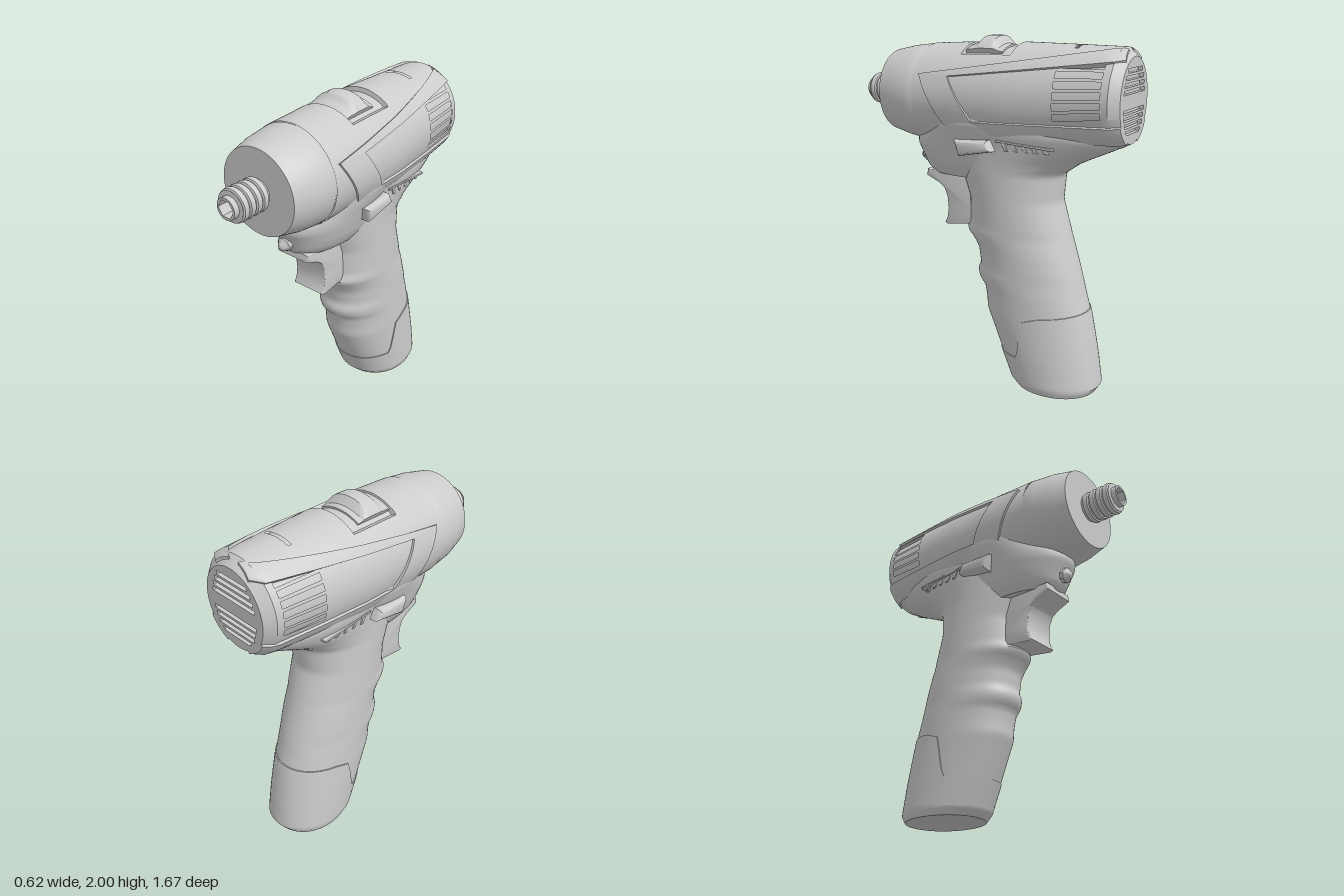
import * as THREE from 'three';
import { toCreasedNormals } from 'three/addons/utils/BufferGeometryUtils.js';

const material = new THREE.MeshStandardMaterial({ color: 0xcccccc, side: THREE.DoubleSide });
const SEG = 96;

function part(parent, name, geometry) {
  const mesh = new THREE.Mesh(toCreasedNormals(geometry, 0.6), material);
  mesh.name = name;
  parent.add(mesh);
  return mesh;
}

// Linear lookup in a table of rows [key, a, b, ...]
function lookup(table, key) {
  let i = 0;
  while (i < table.length - 2 && key > table[i + 1][0]) i++;
  const t = THREE.MathUtils.clamp((key - table[i][0]) / (table[i + 1][0] - table[i][0]), 0, 1);
  return table[i].map((v, k) => v + (table[i + 1][k] - v) * t).slice(1);
}

// Skin a list of rings; quads can be left out, ends can be capped
function loft(rings, { closed = true, caps = [], skip = () => false } = {}) {
  const pos = [];
  const tri = (...pts) => pts.forEach((p) => pos.push(p.x, p.y, p.z));
  const n = rings[0].length;
  for (let i = 0; i < rings.length - 1; i++) {
    for (let j = 0; j < (closed ? n : n - 1); j++) {
      if (skip(i, j)) continue;
      const k = (j + 1) % n;
      const [a, b, c, d] = [rings[i][j], rings[i][k], rings[i + 1][k], rings[i + 1][j]];
      tri(a, b, d);
      tri(b, c, d);
    }
  }
  for (const end of caps) {
    const ring = end === 'last' ? rings[rings.length - 1] : rings[0];
    const mid = ring.reduce((s, p) => s.add(p), new THREE.Vector3()).divideScalar(n);
    ring.forEach((p, j) => (end === 'last' ? tri(mid, p, ring[(j + 1) % n]) : tri(mid, ring[(j + 1) % n], p)));
  }
  const g = new THREE.BufferGeometry();
  g.setAttribute('position', new THREE.Float32BufferAttribute(pos, 3));
  return g;
}

// Motor housing sections: z, half width, centre height, half height
const BODY = [
  [-0.83, 0.21, 1.685, 0.225], [-0.78, 0.255, 1.695, 0.262], [-0.5, 0.276, 1.68, 0.283], [-0.2, 0.295, 1.67, 0.298],
  [0.1, 0.296, 1.67, 0.292], [0.37, 0.289, 1.667, 0.283], [0.5, 0.275, 1.668, 0.267], [0.62, 0.24, 1.67, 0.24],
];
function onBody(z, ang, lift = 0) {
  const [rx, yc, ry] = lookup(BODY, z);
  return new THREE.Vector3((rx + lift) * Math.cos(ang), yc + (ry + lift) * Math.sin(ang), z);
}
const angleAtY = (z, y) => {
  const [, yc, ry] = lookup(BODY, z);
  return Math.asin(THREE.MathUtils.clamp((y - yc) / ry, -0.99, 0.99));
};
const angleAtX = (z, x) => Math.acos(x / lookup(BODY, z)[0]);

// Raised four-cornered patch on the housing, edges sunk into it
function patch([rb, rt, fb, ft], angle, lift, nu = 24, nv = 8) {
  const rings = [];
  const step = (i, n) => THREE.MathUtils.clamp((i - 1) / (n - 2), 0, 1);
  const mix = THREE.MathUtils.lerp;
  for (let i = 0; i <= nu; i++) {
    const u = step(i, nu), ring = [];
    for (let j = 0; j <= nv; j++) {
      const v = step(j, nv);
      const [z, s] = [0, 1].map((k) => mix(mix(rb[k], rt[k], v), mix(fb[k], ft[k], v), u));
      const edge = i === 0 || j === 0 || i === nu || j === nv;
      ring.push(onBody(z, angle(z, s), edge ? -0.03 : lift(u, v)));
    }
    rings.push(ring);
  }
  return loft(rings, { closed: false });
}

// Side profile of [z, y] points, extruded across x from x0 to x1
function sideExtrude(points, x0, x1, bevel) {
  const shape = new THREE.Shape(points.map(([z, y]) => new THREE.Vector2(-z, y)));
  const g = new THREE.ExtrudeGeometry(shape, {
    depth: x1 - x0 - 2 * bevel, bevelSize: bevel, bevelThickness: bevel, bevelOffset: -bevel, bevelSegments: 3,
  });
  return g.translate(0, 0, x0 + bevel).rotateY(Math.PI / 2);
}

// Grip sections: y, front z, back z, half width
const GRIP = [
  [0, -0.2, -0.67, 0.205], [0.04, -0.16, -0.695, 0.22], [0.2, -0.09, -0.672, 0.222], [0.33, -0.035, -0.648, 0.222],
  [0.43, 0.008, -0.628, 0.222], [0.5, 0.012, -0.61, 0.222], [0.57, 0.025, -0.59, 0.222], [0.62, 0.065, -0.578, 0.222],
  [0.66, 0.072, -0.567, 0.222], [0.7, 0.052, -0.555, 0.222], [0.8, 0.066, -0.525, 0.222], [0.86, 0.105, -0.507, 0.222],
  [0.9, 0.145, -0.495, 0.222], [0.95, 0.12, -0.48, 0.222], [1.1, 0.12, -0.435, 0.222], [1.26, 0.18, -0.45, 0.222],
  [1.33, 0.22, -0.55, 0.225], [1.43, 0.26, -0.77, 0.236], [1.48, 0.26, -0.82, 0.248], [1.6, 0.2, -0.76, 0.25],
];
// Neck under the nose, above the trigger
const CHIN = [
  [1.21, 0.385, -0.2, 0.15], [1.25, 0.42, -0.22, 0.18], [1.3, 0.44, -0.25, 0.205], [1.38, 0.48, -0.3, 0.23],
  [1.42, 0.475, -0.32, 0.242], [1.48, 0.43, -0.34, 0.265], [1.54, 0.385, -0.34, 0.284], [1.6, 0.34, -0.3, 0.27],
];
function onColumn(table, y, a, grow = 0) {
  const [front, back, hw] = lookup(table, y);
  const round = (t) => Math.sign(t) * Math.abs(t) ** (2 / 2.1);
  const x = (hw + grow) * round(Math.sin(a));
  return new THREE.Vector3(x, y, (front + back) / 2 + ((front - back) / 2 + grow) * round(Math.cos(a)));
}
const column = (table, count, fn) => Array.from({ length: count + 1 }, (_, i) =>
  Array.from({ length: 64 }, (_, j) => fn(table, i / count, (j / 64) * Math.PI * 2)));

export function createModel() {
  const model = new THREE.Group();
  model.name = 'cordlessDriver';
  const ring = (z, lift) => Array.from({ length: SEG }, (_, j) => {
    const a = (j / SEG) * Math.PI * 2;
    const sunk = z > -0.203 && z < 0.098 && Math.sin(a) > 0.83 ? -0.025 : 0;
    return onBody(z, a, lift + sunk);
  });

  // Housing with slots left open over a sunken liner
  const stations = [-0.83, -0.78, -0.74, -0.65, -0.55, -0.53, -0.49, -0.35, -0.205, -0.2, -0.1, 0, 0.095, 0.1, 0.2, 0.3, 0.365];
  const skip = (i, j) => {
    const z = (stations[i] + stations[i + 1]) / 2;
    const k = j >= SEG * 0.75 ? j - SEG : j < SEG / 4 ? j : SEG / 2 - 1 - j;
    const sideSlot = z > -0.74 && z < -0.49 && k >= -5 && k < 13 && (k + 5) % 3 !== 2;
    return sideSlot || (z > -0.55 && z < -0.53 && Math.abs(j + 0.5 - SEG / 4) < 5);
  };
  part(model, 'motorHousing', loft(stations.map((z) => ring(z, 0)), { skip }));
  part(model, 'ventLiner', loft([-0.77, -0.6, -0.46].map((z) => ring(z, -0.02))));
  part(model, 'noseCone', loft([0.355, 0.37, 0.43, 0.5, 0.56, 0.62].map((z) => ring(z, z < 0.36 ? -0.008 : -0.002)), { caps: ['last'] }));

  // Slotted rear plate
  const plate = new THREE.Shape().absellipse(0, 1.685, 0.21, 0.225, 0, Math.PI * 2);
  for (const side of [-1, 1]) {
    for (let i = 0; i < 4; i++) {
      const y = side * (0.05 + i * 0.036);
      const w = 0.16 * Math.sqrt(1 - (y / 0.215) ** 2);
      plate.holes.push(new THREE.Path([[-w, -0.011], [-w, 0.011], [w, 0.011], [w, -0.011]]
        .map(([px, py]) => new THREE.Vector2(px, 1.685 + y + py))));
    }
  }
  part(model, 'rearVentPlate', new THREE.ExtrudeGeometry(plate, { depth: 0.025, bevelEnabled: false, curveSegments: 48 }).translate(0, 0, -0.83));
  part(model, 'rearBacking', new THREE.CircleGeometry(0.21, 48).rotateY(Math.PI).translate(0, 1.685, -0.8));

  // Raised side frames
  const frames = {
    frameTop: [[-0.82, 1.885], [-0.8, 1.945], [0.13, 1.785], [0.32, 1.79]],
    frameFront: [[-0.02, 1.555], [0.13, 1.785], [0.14, 1.49], [0.32, 1.79]],
    frameBottom: [[-0.83, 1.475], [-0.83, 1.57], [0.14, 1.49], [-0.02, 1.555]],
  };
  for (const [name, corners] of Object.entries(frames)) {
    for (const side of [1, -1]) {
      part(model, name, patch(corners, angleAtY, () => 0.014)).scale.x = side;
    }
  }

  // Direction switch on top, fading out towards its sides
  const hump = [[0, -0.015], [0.15, -0.008], [0.3, 0.036], [0.66, 0.036], [0.78, 0.01], [1, -0.008]];
  part(model, 'topSwitch', patch([[-0.13, 0.14], [-0.13, -0.14], [0.095, 0.14], [0.095, -0.14]], angleAtX,
    (u, v) => {
      const h = lookup(hump, u)[0];
      return h > 0 ? h * (1 - 0.85 * Math.abs(2 * v - 1) ** 3) : h;
    }, 36, 20));

  // Grip, chin and battery foot
  part(model, 'grip', loft(column(GRIP, 80, (t, v, a) => onColumn(t, 0.02 + v * 1.58, a))));
  part(model, 'chin', loft(column(CHIN, 24, (t, v, a) => onColumn(t, 1.21 + v * 0.39, a)), { caps: ['first'] }));
  const seam = [[-1, 0.485], [-0.25, 0.46], [0, 0.43], [0.35, 0.2], [1, 0.195]];
  part(model, 'battery', loft(column(GRIP, 26, (t, v, a) => {
    const y = lookup(seam, Math.cos(a))[0] * Math.min(v * 26 / 25, 1);
    return onColumn(t, y, a, v === 1 ? -0.01 : 0.006);
  }), { caps: ['first'] }));

  // Trigger
  part(model, 'trigger', sideExtrude([
    [0.385, 1.225], [0.39, 1.185], [0.31, 1.15], [0.27, 1.12], [0.25, 1.07], [0.243, 1], [0.25, 0.95], [0.268, 0.91],
    [0.25, 0.902], [0.1, 0.922], [0.05, 1], [0.05, 1.225],
  ], -0.107, 0.107, 0.006));

  // Side buttons and small rib rows below the frames
  for (const side of [1, -1]) {
    const group = new THREE.Group();
    group.name = side > 0 ? 'leftControls' : 'rightControls';
    group.scale.x = side;
    model.add(group);
    part(group, 'sideButton', sideExtrude([[0.1, 1.445], [0.07, 1.355], [-0.14, 1.395], [-0.11, 1.455]], 0.17, 0.288, 0.03));
    part(group, 'ribRail', sideExtrude([[-0.15, 1.46], [-0.15, 1.448], [-0.48, 1.425], [-0.48, 1.437]], 0.17, 0.247, 0.003));
    for (let i = 0; i < 5; i++) {
      const z = -0.18 - i * 0.058, y = 1.448 - i * 0.004, h = 0.045 - i * 0.004;
      part(group, 'rib', sideExtrude([[z, y], [z - 0.02, y - h], [z - 0.04, y - h], [z - 0.02, y]], 0.17, 0.242 - i * 0.003, 0.003));
    }
  }

  // Work lamp
  const lamp = [[0, 0.07], [0.02, 0.062], [0.032, 0.045], [0.045, 0.035], [0.045, -0.03]];
  const lampMesh = part(model, 'workLamp', new THREE.LatheGeometry(lamp.map((p) => new THREE.Vector2(...p)).reverse(), 8));
  lampMesh.position.set(0, 1.3, 0.42);
  lampMesh.rotation.x = Math.PI / 2 + 0.25;

  // Ribbed chuck with hex socket
  const profile = [[0.075, 0.6]];
  for (let i = 0; i < 4; i++) {
    const z = 0.632 + i * 0.044;
    profile.push([0.08, z], [0.09, z + 0.004], [0.093, z + 0.016], [0.09, z + 0.032], [0.08, z + 0.036]);
  }
  profile.push([0.085, 0.806], [0.058, 0.808]);
  part(model, 'chuck', new THREE.LatheGeometry(profile.map((p) => new THREE.Vector2(...p)), 40).rotateX(Math.PI / 2).translate(0, 1.67, 0));
  const tip = new THREE.Shape().absarc(0, 0, 0.06, 0, Math.PI * 2);
  tip.holes.push(new THREE.Path(Array.from({ length: 6 }, (_, i) =>
    new THREE.Vector2(0.05 * Math.cos(-i * Math.PI / 3), 0.05 * Math.sin(-i * Math.PI / 3)))));
  part(model, 'hexSocket', new THREE.ExtrudeGeometry(tip, { depth: 0.07, bevelEnabled: false, curveSegments: 32 }).translate(0, 1.67, 0.768));
  part(model, 'socketFloor', new THREE.CircleGeometry(0.055, 24).translate(0, 1.67, 0.775));
  return model;
}
